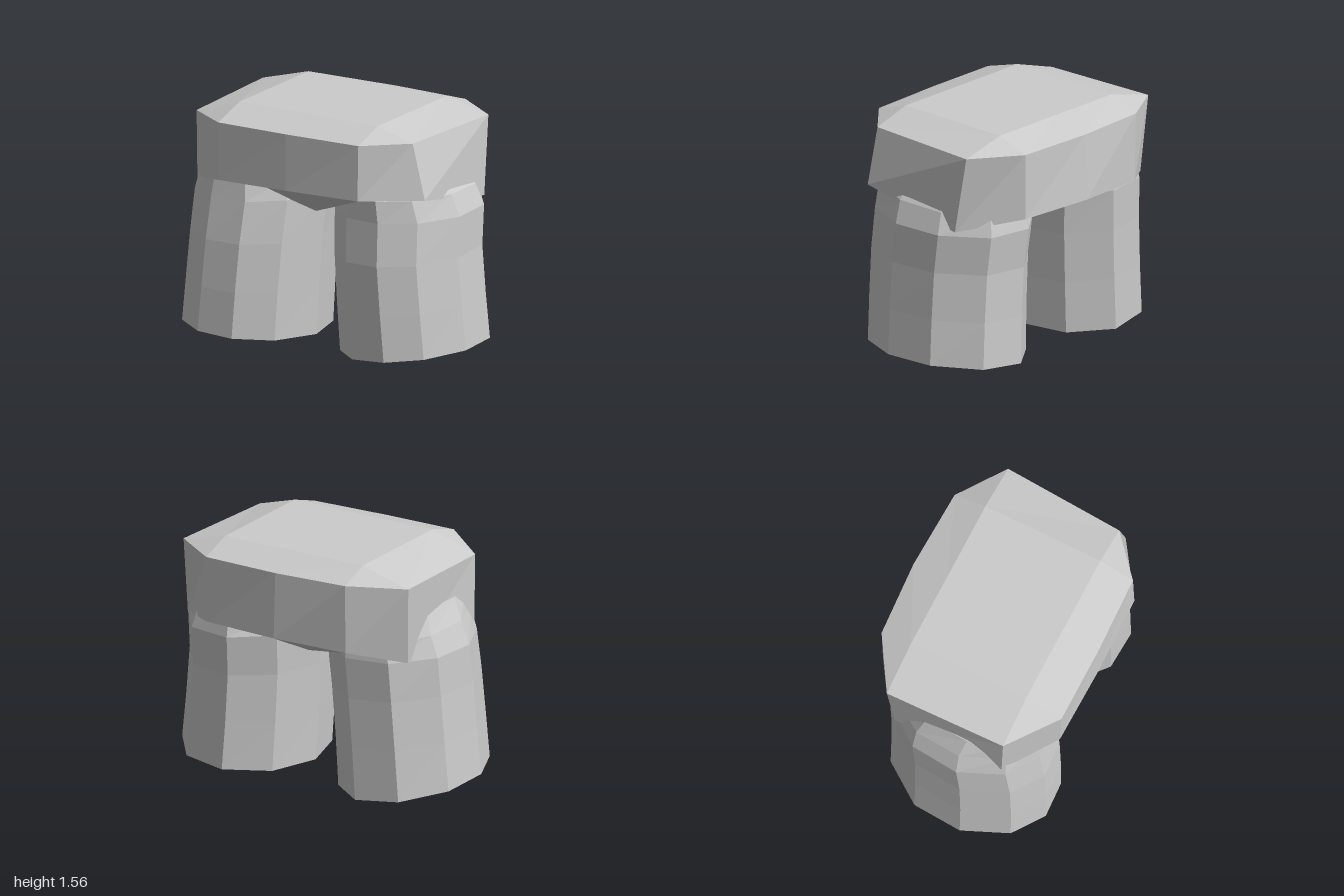
import * as THREE from 'three';

// Joins rings of [x, y, z] points, listed from bottom to top, and caps both ends.
function loft(name, rings) {
  const n = rings[0].length;
  const pos = [];
  const tri = (a, b, c) => pos.push(...a, ...b, ...c);
  const centre = (ring) => [0, 1, 2].map((k) => ring.reduce((s, p) => s + p[k], 0) / n);
  const top = rings[rings.length - 1];
  const low = centre(rings[0]);
  const high = centre(top);
  for (let i = 0; i < n; i++) {
    const j = (i + 1) % n;
    for (let r = 0; r < rings.length - 1; r++) {
      const a = rings[r], b = rings[r + 1];
      tri(a[i], b[i], a[j]);
      tri(a[j], b[i], b[j]);
    }
    tri(low, rings[0][i], rings[0][j]);
    tri(high, top[j], top[i]);
  }
  const geometry = new THREE.BufferGeometry();
  geometry.setAttribute('position', new THREE.Float32BufferAttribute(pos, 3));
  geometry.computeVertexNormals();
  const mesh = new THREE.Mesh(geometry, new THREE.MeshStandardMaterial({ color: 0xcccccc, flatShading: true }));
  mesh.name = name;
  return mesh;
}

// Corner directions of a leg, in degrees from its outer side towards the front
const LEG_ANGLES = [11, 46, 77, 109, 142, 180, 219, 258, 297, 336];

// Ten-sided trouser leg. Levels: height, inner x, outer x, front z, back z, tilt outward, tilt forward.
function leg(name, side, levels) {
  const rings = levels.map(([y, inner, outer, front, back, tiltX, tiltZ]) => {
    const ring = LEG_ANGLES.map((degrees) => {
      const a = THREE.MathUtils.degToRad(degrees);
      const c = Math.cos(a), s = Math.sin(a);
      return [
        side * ((inner + outer) / 2 + (c * (outer - inner)) / 2),
        y + c * tiltX + s * tiltZ,
        (front + back) / 2 + (s * (front - back)) / 2,
      ];
    });
    return side > 0 ? ring : ring.reverse();
  });
  return loft(name, rings);
}

export function createModel() {
  const group = new THREE.Group();
  group.name = 'shorts';

  // Hips: crotch, hem, waist edge and flat top
  const crotch = [
    [0.6, 1.06, 0.3], [0.42, 1.05, 0.42], [0, 0.89, 0.3], [-0.42, 1.05, 0.42], [-0.6, 1.05, 0.3],
    [-0.5, 0.99, -0.28], [-0.4, 0.99, -0.38], [0, 0.85, -0.25], [0.4, 0.99, -0.38], [0.5, 0.99, -0.28],
  ];
  const hem = [
    [0.88, 1.12, 0.41], [0.53, 1.12, 0.65], [0, 1.11, 0.66], [-0.5, 1.1, 0.65], [-0.82, 1.01, 0.4],
    [-0.81, 0.95, -0.36], [-0.5, 1.03, -0.6], [0, 1.05, -0.66], [0.53, 1.05, -0.62], [0.86, 0.975, -0.32],
  ];
  const waist = [
    [0.79, 1.48, 0.41], [0.53, 1.48, 0.64], [0, 1.48, 0.66], [-0.5, 1.48, 0.66], [-0.82, 1.45, 0.41],
    [-0.84, 1.46, -0.4], [-0.5, 1.48, -0.61], [0, 1.48, -0.64], [0.53, 1.48, -0.62], [0.84, 1.48, -0.4],
  ];
  const flatTop = waist.map(([x, , z]) => [THREE.MathUtils.clamp(x, -0.5, 0.53), 1.555, z > 0 ? 0.41 : -0.4]);
  group.add(loft('hips', [crotch, hem, waist, flatTop]));

  // Legs, slightly different in stance
  group.add(leg('leftLeg', 1, [
    [0.053, 0.12, 1.01, 0.57, -0.54, 0.035, 0],
    [0.36, 0.105, 0.985, 0.58, -0.53, 0.02, 0],
    [0.68, 0.09, 0.96, 0.585, -0.53, 0.01, 0],
    [0.95, 0.075, 0.955, 0.56, -0.56, 0, 0.01],
    [1.08, 0.12, 0.9, 0.56, -0.53, 0.01, 0.02],
    [1.2, 0.25, 0.8, 0.5, -0.42, 0, 0],
  ]));
  group.add(leg('rightLeg', -1, [
    [0.043, 0.13, 1.01, 0.65, -0.47, 0.032, 0.033],
    [0.36, 0.115, 0.985, 0.64, -0.475, 0.02, 0.01],
    [0.68, 0.095, 0.965, 0.62, -0.485, 0.01, 0],
    [0.95, 0.075, 0.955, 0.58, -0.5, 0, 0],
    [1.08, 0.12, 0.9, 0.56, -0.49, 0.02, 0.02],
    [1.22, 0.25, 0.83, 0.55, -0.42, 0.02, 0],
  ]));

  return group;
}
